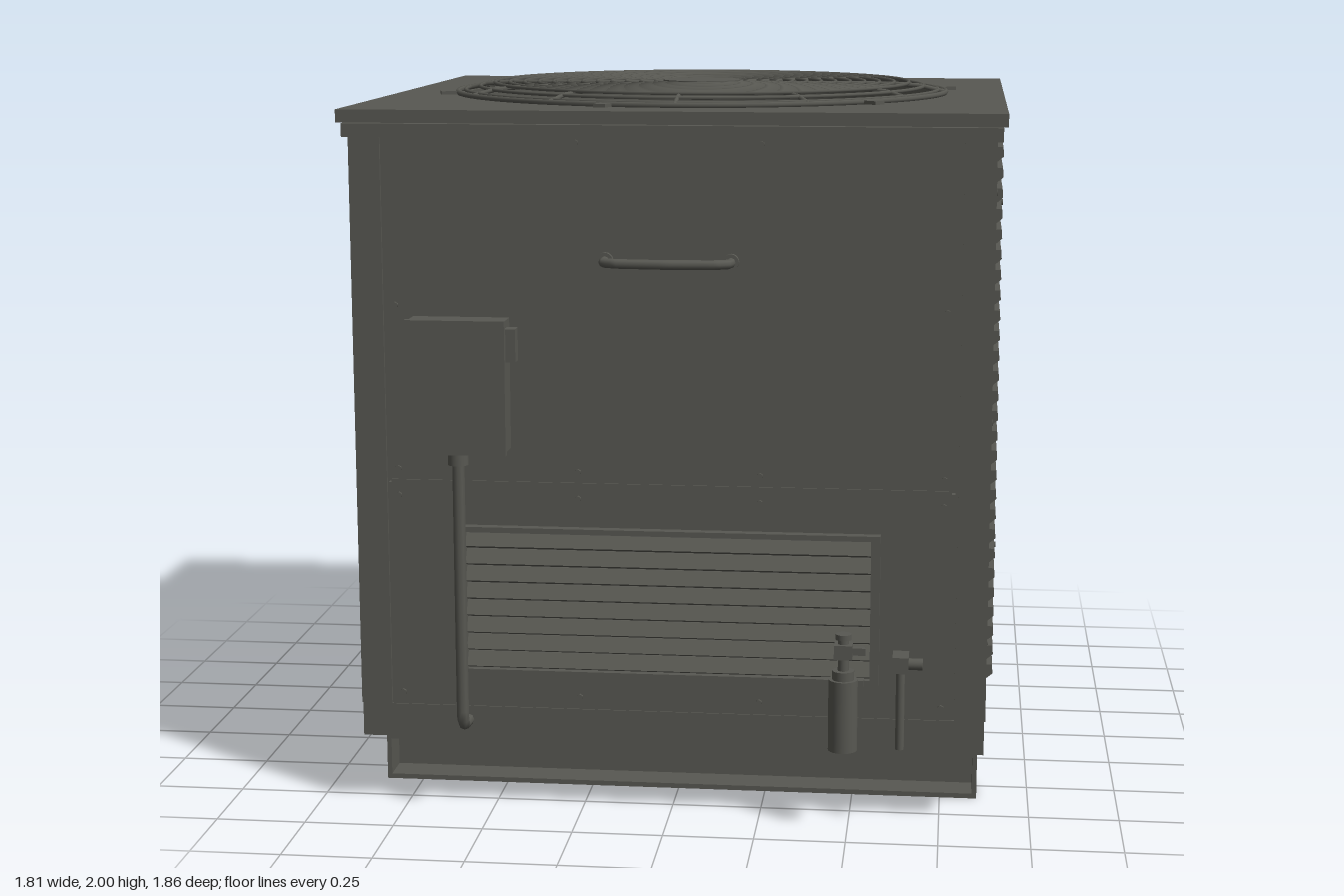
import * as THREE from 'three';

export function createModel() {
  const model = new THREE.Group();
  model.name = 'condensingUnit';
  const grey = new THREE.MeshStandardMaterial({ color: 0x585852 });
  grey.name = 'dark olive grey';
  grey.side = THREE.DoubleSide;
  const CZ = -0.035; // depth centre of the cabinet

  const add = (name, geo, x = 0, y = 0, z = 0, parent = model) => {
    const m = new THREE.Mesh(geo, grey);
    m.name = name;
    m.position.set(x, y, z);
    parent.add(m);
    return m;
  };
  // Box given by its limits on each axis
  const box = (name, x0, x1, y0, y1, z0, z1, parent = model) =>
    add(name, new THREE.BoxGeometry(x1 - x0, y1 - y0, z1 - z0),
      (x0 + x1) / 2, (y0 + y1) / 2, (z0 + z1) / 2, parent);
  const cyl = (name, r, h, x, y, z, parent = model, seg = 20) =>
    add(name, new THREE.CylinderGeometry(r, r, h, seg), x, y, z, parent);
  const tube = (name, pts, r, parent = model, seg = 32) => {
    const path = new THREE.CatmullRomCurve3(pts.map(p => new THREE.Vector3(...p)), false, 'catmullrom', 0.1);
    return add(name, new THREE.TubeGeometry(path, seg, r, 8), 0, 0, 0, parent);
  };
  const rect = (P, x0, x1, y0, y1) => {
    const s = new P();
    s.moveTo(x0, y0); s.lineTo(x1, y0); s.lineTo(x1, y1); s.lineTo(x0, y1); s.closePath();
    return s;
  };
  // Flat frame: an outer rectangle with a rectangular opening
  const frame = (name, outer, inner, depth, z, parent) => {
    const s = rect(THREE.Shape, ...outer);
    s.holes.push(rect(THREE.Path, ...inner));
    return add(name, new THREE.ExtrudeGeometry(s, { depth, bevelEnabled: false }), 0, 0, z, parent);
  };
  // Stepped louver sheet facing +z: each slat has an undercut and an outer face
  const louver = (name, x0, x1, y0, y1, count, zIn, zOut, zTop, undercut, parent) => {
    const p = (y1 - y0) / count, s = new THREE.Shape();
    s.moveTo(zIn - 0.012, y0);
    for (let i = 0; i < count; i++) {
      const y = y0 + i * p;
      s.lineTo(zIn, y);
      s.lineTo(zOut, y + undercut);
      s.lineTo(zTop, y + p * 0.995);
      s.lineTo(zIn, y + p * 0.998);
    }
    s.lineTo(zIn - 0.012, y1);
    const g = new THREE.ExtrudeGeometry(s, { depth: x1 - x0, bevelEnabled: false });
    g.translate(0, 0, -(x1 - x0) / 2);
    g.rotateY(-Math.PI / 2);
    return add(name, g, (x0 + x1) / 2, 0, 0, parent);
  };
  const screw = (x, y, z, parent = model) => {
    const m = cyl('screw', 0.009, 0.012, x, y, z, parent, 6);
    m.rotation.x = Math.PI / 2;
  };

  // Base pan and corner posts
  box('basePan', -0.87, 0.87, 0.2, 0.295, -0.89, 0.82);
  for (const sx of [-1, 1]) for (const [z0, z1] of [[0.735, 0.82], [-0.885, -0.8]])
    box('cornerPost', sx * 0.83 - 0.043, sx * 0.83 + 0.043, 0.295, 1.89, z0, z1);

  // Louvered panels on both sides and the back
  const coil = (name, half, x, z, angle) => {
    const g = new THREE.Group();
    g.name = name;
    g.position.set(x, 0, z);
    g.rotation.y = angle;
    model.add(g);
    frame('panelFrame', [-half, half, 0.295, 1.89], [-half + 0.065, half - 0.065, 0.36, 1.86], 0.02, -0.02, g);
    louver('louvers', -half + 0.065, half - 0.065, 0.36, 1.86, 27, -0.012, 0.024, 0.022, 0.03, g);
    box('centreBar', -0.013, 0.013, 0.355, 1.865, 0, 0.029, g);
    for (const y of [0.59, 1.11, 1.64]) screw(0, y, 0.03, g);
    for (const s of [-1, 1]) for (const y of [0.49, 1.11, 1.74]) screw(s * (half - 0.033), y, 0.002, g);
  };
  coil('leftCoilPanel', 0.77, 0.868, CZ, Math.PI / 2);
  coil('rightCoilPanel', 0.77, -0.868, CZ, -Math.PI / 2);
  coil('backCoilPanel', 0.787, 0, -0.882, Math.PI);

  // Front access panels
  box('frontBacking', -0.79, 0.79, 0.295, 1.89, 0.79, 0.81);
  box('upperPanel', -0.78, 0.78, 0.945, 1.885, 0.81, 0.832);
  box('lowerPanel', -0.78, 0.78, 0.3, 0.935, 0.81, 0.832);
  box('panelLip', -0.77, 0.77, 0.935, 0.945, 0.81, 0.836);
  for (const x of [-0.75, -0.25, 0.25, 0.75])
    for (const y of [0.335, 0.9, 0.975]) screw(x, y, 0.834);
  for (const x of [-0.75, 0.75]) screw(x, 1.43, 0.834);
  for (const x of [-0.25, 0.25]) screw(x, 1.875, 0.834);

  // Front vent
  frame('ventFrame', [-0.58, 0.58, 0.395, 0.82], [-0.56, 0.555, 0.415, 0.805], 0.03, 0.83);
  louver('ventLouvers', -0.56, 0.555, 0.415, 0.805, 8, 0.838, 0.87, 0.845, 0.012);

  // Handle
  tube('handle', [[-0.17, 1.56, 0.83], [-0.17, 1.56, 0.885], [-0.13, 1.56, 0.905], [0, 1.56, 0.915],
    [0.13, 1.56, 0.905], [0.17, 1.56, 0.885], [0.17, 1.56, 0.83]], 0.013);
  for (const x of [-0.17, 0.17]) {
    const f = cyl('handleFoot', 0.022, 0.02, x, 1.56, 0.838);
    f.rotation.x = Math.PI / 2;
  }

  // Switch box with lever and conduit
  box('switchBox', -0.7, -0.435, 1.04, 1.4, 0.832, 0.925);
  box('switchBoxCover', -0.704, -0.431, 1.036, 1.404, 0.915, 0.935);
  box('switchLever', -0.435, -0.405, 1.29, 1.38, 0.872, 0.912);
  cyl('conduitCollar', 0.028, 0.04, -0.57, 1.022, 0.893);
  tube('conduit', [[-0.57, 1.04, 0.893], [-0.57, 0.6, 0.893], [-0.57, 0.29, 0.893], [-0.57, 0.26, 0.88],
    [-0.57, 0.255, 0.82]], 0.017);

  // Service valves
  cyl('liquidDrier', 0.04, 0.2, 0.485, 0.33, 0.9);
  cyl('drierCap', 0.03, 0.03, 0.485, 0.44, 0.9);
  cyl('drierPipe', 0.015, 0.12, 0.485, 0.49, 0.9);
  box('drierValve', 0.46, 0.51, 0.49, 0.53, 0.875, 0.925);
  box('drierValveStem', 0.51, 0.545, 0.5, 0.52, 0.89, 0.91);
  box('drierBracket', 0.43, 0.54, 0.4, 0.42, 0.83, 0.88);
  cyl('drierValveCap', 0.022, 0.015, 0.485, 0.55, 0.9);
  cyl('suctionPipe', 0.012, 0.24, 0.64, 0.35, 0.88);
  const valve = cyl('suctionValve', 0.016, 0.07, 0.665, 0.472, 0.88);
  valve.rotation.z = Math.PI / 2;
  box('suctionValveBody', 0.618, 0.662, 0.45, 0.495, 0.832, 0.905);

  // Lid with a round fan opening
  const lid = (name, hx, hz, y0, y1) => {
    const s = rect(THREE.Shape, -hx, hx, -hz, hz), hole = new THREE.Path();
    hole.absarc(0, 0, 0.71, 0, Math.PI * 2, true);
    s.holes.push(hole);
    const g = new THREE.ExtrudeGeometry(s, { depth: y1 - y0, bevelEnabled: false, curveSegments: 48 });
    g.rotateX(-Math.PI / 2);
    add(name, g, 0, y0, CZ - 0.003);
  };
  lid('lidSkirt', 0.888, 0.872, 1.885, 1.922);
  lid('lidTop', 0.9, 0.883, 1.925, 1.96);
  add('fanShroud', new THREE.CylinderGeometry(0.708, 0.708, 0.3, 64, 1, true), 0, 1.808, CZ - 0.003);

  // Fan: hub, motor and four swept blades
  const fan = new THREE.Group();
  fan.name = 'fan';
  fan.position.set(0, 1.75, -0.04);
  model.add(fan);
  cyl('fanHub', 0.13, 0.14, 0, 0, 0, fan, 32);
  cyl('fanMotor', 0.115, 0.3, 0, -0.2, 0, fan, 32);
  for (let k = 0; k < 4; k++) {
    const g = new THREE.PlaneGeometry(1, 1, 8, 8), p = g.attributes.position;
    for (let i = 0; i < p.count; i++) {
      const u = p.getX(i) + 0.5, v = p.getY(i);
      const r = 0.11 + 0.55 * u, a = v * (0.75 + 0.15 * u) + 0.35 * u * u;
      p.setXYZ(i, r * Math.cos(a), v * 0.2 + 0.04 * (1 - 4 * v * v), -r * Math.sin(a));
    }
    g.computeVertexNormals();
    add('fanBlade', g, 0, 0, 0, fan).rotation.y = k * Math.PI / 2 - 0.05;
  }

  // Wire fan guard
  const guard = new THREE.Group();
  guard.name = 'fanGuard';
  guard.position.set(0, 0, -0.04);
  model.add(guard);
  const guardY = r => r < 0.62 ? 1.993 : 1.993 - (r - 0.62) * 0.24;
  const ring = (r, t) => {
    add('guardRing', new THREE.TorusGeometry(r, t, 6, 72), 0, guardY(r), 0, guard).rotation.x = Math.PI / 2;
  };
  for (let i = 0; i < 14; i++) ring(0.14 + i * 0.0435, 0.0055);
  ring(0.728, 0.008);
  cyl('guardCap', 0.115, 0.012, 0, 1.993, 0, guard, 36);
  for (let i = 0; i < 12; i++)
    tube('guardSpoke', [[0.1, 1.989, 0], [0.62, 1.989, 0], [0.728, 1.966, 0]], 0.0065, guard, 8)
      .rotation.y = i * Math.PI / 6;
  for (let i = 0; i < 6; i++) {
    const a = Math.PI / 12 + i * Math.PI / 3;
    const tab = add('guardTab', new THREE.BoxGeometry(0.06, 0.01, 0.035),
      0.75 * Math.cos(a), 1.966, -0.75 * Math.sin(a), guard);
    tab.rotation.y = a;
  }

  // Channel rails open outwards, with vibration mounts
  for (const [z, s] of [[0.555, 1], [-0.615, -1]]) {
    const rail = new THREE.Group();
    rail.name = 'footRail';
    rail.position.z = z;
    if (s < 0) rail.rotation.y = Math.PI;
    model.add(rail);
    frame('railChannel', [-0.855, 0.855, 0, 0.135], [-0.842, 0.842, 0.014, 0.121], 0.11, -0.055, rail);
    box('railWeb', -0.842, 0.842, 0.014, 0.121, -0.055, -0.04, rail);
    for (const sx of [-1, 1]) {
      cyl('mountBase', 0.048, 0.05, sx * 0.7, 0.158, 0, rail);
      cyl('mountCap', 0.062, 0.022, sx * 0.7, 0.19, 0, rail);
      for (const dx of [-0.012, 0.012]) cyl('railBolt', 0.007, 0.03, sx * 0.39 + dx, 0.143, 0, rail, 6);
    }
  }
  return model;
}
